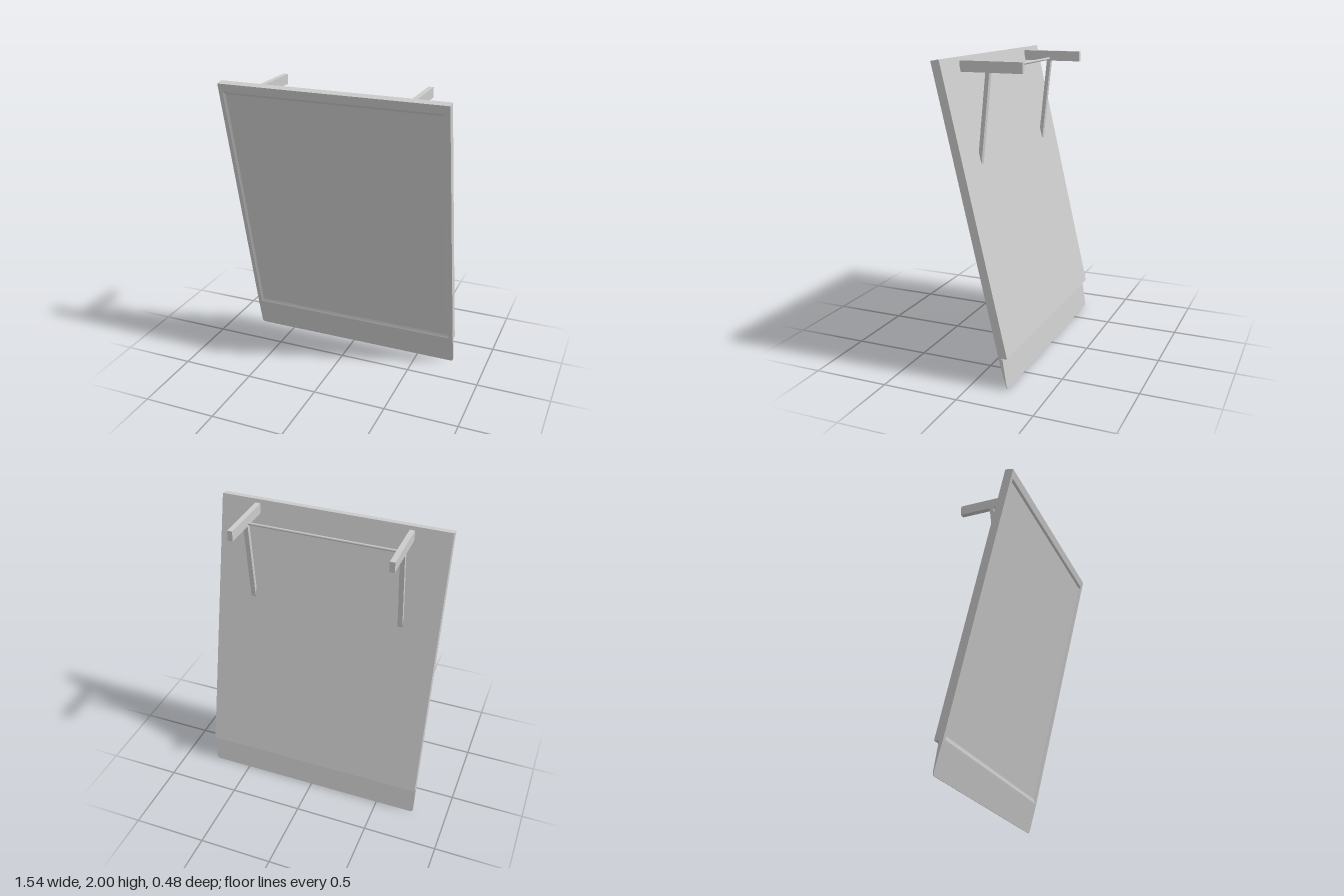
import * as THREE from 'three';

const material = new THREE.MeshStandardMaterial({ color: 0xcccccc });

// Depth of the leaning front face at height y
const lean = (y) => 0.24 - 0.2346 * (1.99 - y);

function add(group, name, geometry) {
  const mesh = new THREE.Mesh(geometry, material);
  mesh.name = name;
  group.add(mesh);
  return mesh;
}

// Closed slab through rectangles running from the back to the front
function slabGeometry(rings) {
  const loops = rings.map(({ hx, y0, y1, d }) => [
    [-hx, y0, lean(y0) - d], [hx, y0, lean(y0) - d],
    [hx, y1, lean(y1) - d], [-hx, y1, lean(y1) - d],
  ]);
  const pos = [];
  const quad = (a, b, c, d) => [a, b, c, a, c, d].forEach((p) => pos.push(...p));
  for (let r = 0; r < loops.length - 1; r++) {
    const a = loops[r], b = loops[r + 1];
    for (let i = 0; i < 4; i++) quad(a[i], a[(i + 1) % 4], b[(i + 1) % 4], b[i]);
  }
  quad(...loops[loops.length - 1]);
  quad(...[...loops[0]].reverse());
  const geometry = new THREE.BufferGeometry();
  geometry.setAttribute('position', new THREE.Float32BufferAttribute(pos, 3));
  geometry.computeVertexNormals();
  return geometry;
}

// Side profile given as [z, y] points, extruded across x
function profileGeometry(points, width) {
  const shape = new THREE.Shape(points.map(([z, y]) => new THREE.Vector2(z, y)));
  return new THREE.ExtrudeGeometry(shape, { depth: width, bevelEnabled: false })
    .translate(0, 0, -width / 2)
    .rotateY(-Math.PI / 2);
}

// Thin wedge below the panel with rounded lower corners
function bladeGeometry() {
  const hx = 0.77, top = 0.2, r = 0.025;
  const shape = new THREE.Shape();
  shape.moveTo(-hx, top);
  shape.lineTo(-hx, r);
  shape.quadraticCurveTo(-hx, 0, -hx + r, 0);
  shape.lineTo(hx - r, 0);
  shape.quadraticCurveTo(hx, 0, hx, r);
  shape.lineTo(hx, top);
  shape.closePath();
  const geometry = new THREE.ExtrudeGeometry(shape, { depth: 1, bevelEnabled: false, curveSegments: 5 });
  const p = geometry.attributes.position;
  for (let i = 0; i < p.count; i++) {
    const t = p.getY(i) / top;
    const back = THREE.MathUtils.lerp(-0.236, -0.205, t);
    const front = THREE.MathUtils.lerp(-0.233, lean(top), t);
    p.setZ(i, p.getZ(i) > 0.5 ? front : back);
  }
  geometry.computeVertexNormals();
  return geometry;
}

export function createModel() {
  const model = new THREE.Group();
  model.name = 'leaningPanel';

  // Panel with a shallow recessed field on the front
  add(model, 'panel', slabGeometry([
    { hx: 0.77, y0: 0.205, y1: 2.0, d: 0.057 },
    { hx: 0.77, y0: 0.2, y1: 1.99, d: 0 },
    { hx: 0.742, y0: 0.212, y1: 1.935, d: 0 },
    { hx: 0.736, y0: 0.222, y1: 1.928, d: 0.004 },
    { hx: 0.727, y0: 0.238, y1: 1.92, d: 0.009 },
  ]));
  add(model, 'lowerBlade', bladeGeometry());

  // Mirrored rear arms and their diagonal struts
  for (const [side, s] of [['left', 1], ['right', -1]]) {
    const arm = add(model, `${side}Arm`, new THREE.BoxGeometry(0.034, 0.068, 0.41));
    arm.position.set(s * 0.515, 1.945, -0.032);
    const strut = add(model, `${side}Strut`, profileGeometry(
      [[-0.026, 1.925], [0.034, 1.35], [0.05, 1.38], [0.052, 1.42], [0.001, 1.925]], 0.032));
    strut.position.x = s * 0.515;
  }

  // Slim bar joining the arms
  const bar = add(model, 'crossBar', new THREE.CylinderGeometry(0.009, 0.009, 1.03, 8));
  bar.rotation.z = Math.PI / 2;
  bar.position.set(0, 1.925, -0.013);

  return model;
}
